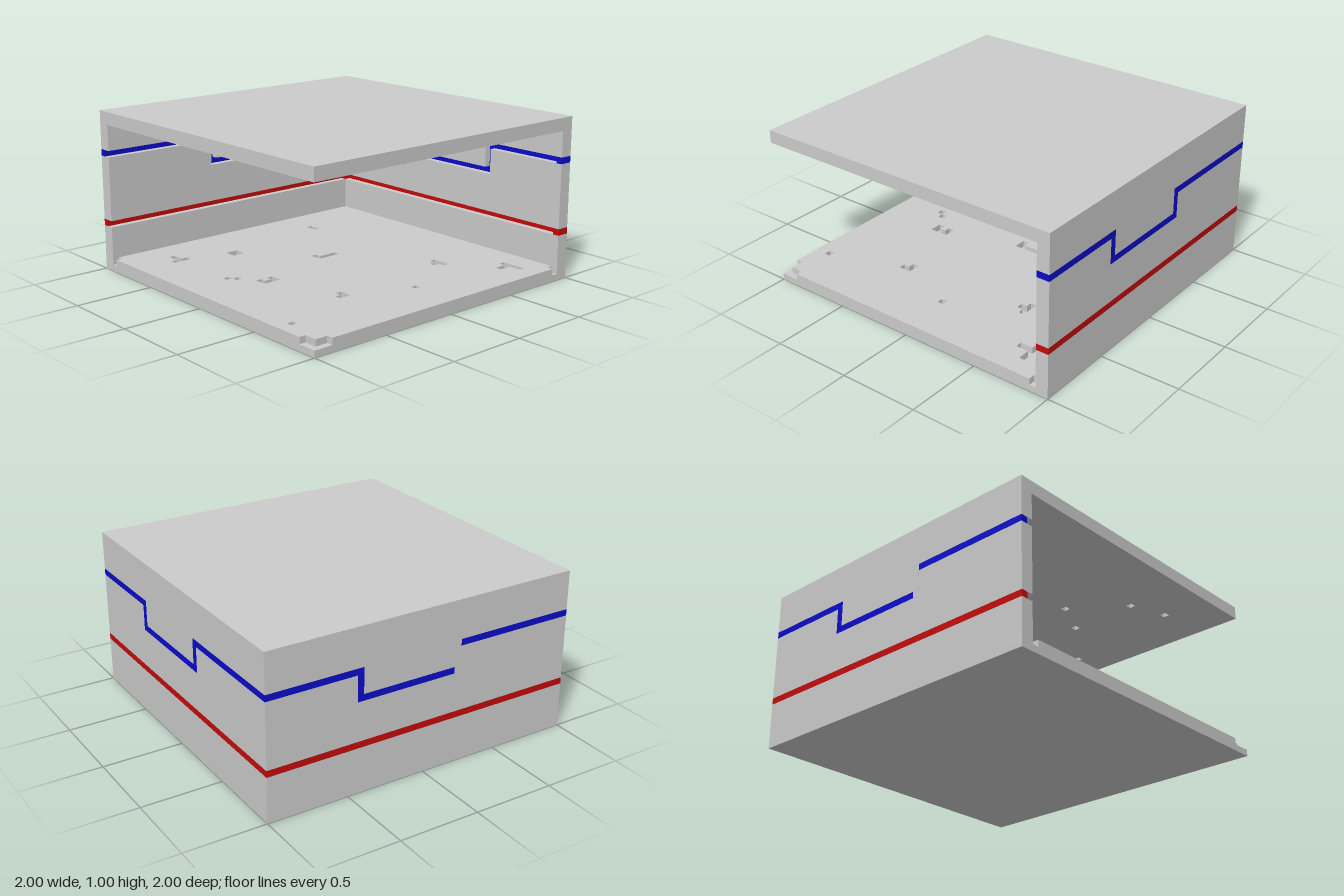
import * as THREE from 'three';
import { mergeGeometries } from 'three/addons/utils/BufferGeometryUtils.js';

const C = 0.04; // one cell of the fine grid everything sits on
const grey = new THREE.MeshStandardMaterial({ color: 0xcbcbcb, name: 'grey shell' });
const blue = new THREE.MeshStandardMaterial({ color: 0x0b0bca, name: 'blue stripe' });
const red = new THREE.MeshStandardMaterial({ color: 0xc40b0b, name: 'red stripe' });

// Box given by its lower and upper corners
function boxGeo(x0, y0, z0, x1, y1, z1) {
  return new THREE.BoxGeometry(x1 - x0, y1 - y0, z1 - z0)
    .translate((x0 + x1) / 2, (y0 + y1) / 2, (z0 + z1) / 2);
}

function mesh(name, geo, mat) {
  const m = new THREE.Mesh(geo, mat);
  m.name = name;
  return m;
}

// Slab layer 2 x 2 made of cell rows, leaving out the listed pits [x, z, width, depth] (low corner)
function pittedLayer(y0, y1, pits) {
  const n = 50;
  const isPit = (i, k) => pits.some(([x, z, w, d]) => {
    const a = Math.round((x + 1) / C), b = Math.round((z + 1) / C);
    return i >= a && i < a + Math.round(w / C) && k >= b && k < b + Math.round(d / C);
  });
  const parts = [];
  for (let k = 0; k < n; k++) {
    let start = -1;
    for (let i = 0; i <= n; i++) {
      const solid = i < n && !isPit(i, k);
      if (solid && start < 0) start = i;
      if (!solid && start >= 0) {
        parts.push(boxGeo(start * C - 1, y0, k * C - 1, i * C - 1, y1, (k + 1) * C - 1));
        start = -1;
      }
    }
  }
  return mergeGeometries(parts);
}

// Stepped line along the wall: high, down into the dip, high again
function dipLine(s0, s1, y, a, b) {
  return [[s0, y], [a, y], [a, y - 0.16], [b, y - 0.16], [b, y], [s1, y]];
}

function plate(points, depth) {
  const shape = new THREE.Shape(points.map(([x, y]) => new THREE.Vector2(x, y)));
  return new THREE.ExtrudeGeometry(shape, { depth, bevelEnabled: false }).translate(0, 0, -1);
}

// Wall standing at z = -1 from s0 to s1, with stripes outside and grooves behind them
function wall(name, s0, s1, plugs) {
  const g = new THREE.Group();
  g.name = name;
  const low = dipLine(s0, s1, 0.72, -0.24, 0.44);
  const high = dipLine(s0, s1, 0.76, -0.20, 0.40);
  g.add(mesh('lowerPanel', boxGeo(s0, 0.08, -1, s1, 0.28, -0.92), grey));
  g.add(mesh('middlePanel', plate([[s0, 0.32], [s1, 0.32], ...[...low].reverse()], 0.08), grey));
  g.add(mesh('upperPanel', plate([...high, [s1, 0.92], [s0, 0.92]], 0.08), grey));
  g.add(mesh('redStripe', boxGeo(s0, 0.28, -1, s1, 0.32, -0.96), red));
  g.add(mesh('blueStripe', plate([...low, ...[...high].reverse()], 0.04), blue));
  // Full-depth stripe ends closing the grooves
  for (const [a, b] of plugs) {
    g.add(mesh('redStripeEnd', boxGeo(a, 0.28, -0.96, b, 0.32, -0.92), red));
    g.add(mesh('blueStripeEnd', boxGeo(a, 0.72, -0.96, b, 0.76, -0.92), blue));
  }
  return g;
}

export function createModel() {
  const model = new THREE.Group();
  model.name = 'openCornerBox';

  // Floor with shallow pits
  const floorPits = [
    [-0.72, 0.68, 0.12, 0.04], [-0.64, 0.64, 0.04, 0.12],
    [-0.56, 0.32, 0.08, 0.08],
    [-0.68, -0.40, 0.08, 0.04],
    [-0.12, -0.12, 0.04, 0.16], [-0.16, 0, 0.08, 0.04],
    [-0.16, 0.68, 0.04, 0.04], [-0.12, 0.64, 0.04, 0.04],
    [0, 0.48, 0.08, 0.04], [0.04, 0.48, 0.04, 0.12], [0, 0.56, 0.04, 0.04],
    [0.40, -0.48, 0.12, 0.04], [0.44, -0.48, 0.04, 0.08],
    [0.48, 0.36, 0.08, 0.04], [0.52, 0.36, 0.04, 0.08],
    [0.68, -0.04, 0.04, 0.04],
    [0.72, -0.76, 0.16, 0.04], [0.76, -0.76, 0.04, 0.12],
    [0.68, 0.88, 0.04, 0.04],
    [0.88, 0.96, 0.12, 0.04], [0.96, 0.88, 0.04, 0.12],
    [-0.92, 0.96, 0.04, 0.04], [0.96, -0.92, 0.04, 0.04],
  ];
  model.add(mesh('floorBase', boxGeo(-1, 0, -1, 1, 0.04, 1), grey));
  model.add(mesh('floorTop', pittedLayer(0.04, 0.08, floorPits), grey));

  // Roof with small pits on its underside
  const roofPits = [[0.76, -0.12], [0.40, 0.16], [0.16, 0.28], [0.40, 0.60], [0.64, 0.68]]
    .map(([x, z]) => [x, z, C, C]);
  model.add(mesh('roofTop', boxGeo(-1, 0.96, -1, 1, 1, 1), grey));
  model.add(mesh('roofUnderside', pittedLayer(0.92, 0.96, roofPits), grey));

  // Two walls meeting in one corner; the other two sides stay open
  model.add(wall('backWall', -1, 1, [[-1, -0.92], [0.96, 1]]));
  const side = wall('sideWall', -1, 0.92, []);
  side.rotation.y = Math.PI / 2;
  // Grey cover over one upright of the blue stripe, outside only
  side.add(mesh('stripeCover', boxGeo(-0.24, 0.56, -1.001, -0.20, 0.76, -0.99), grey));
  model.add(side);

  return model;
}
